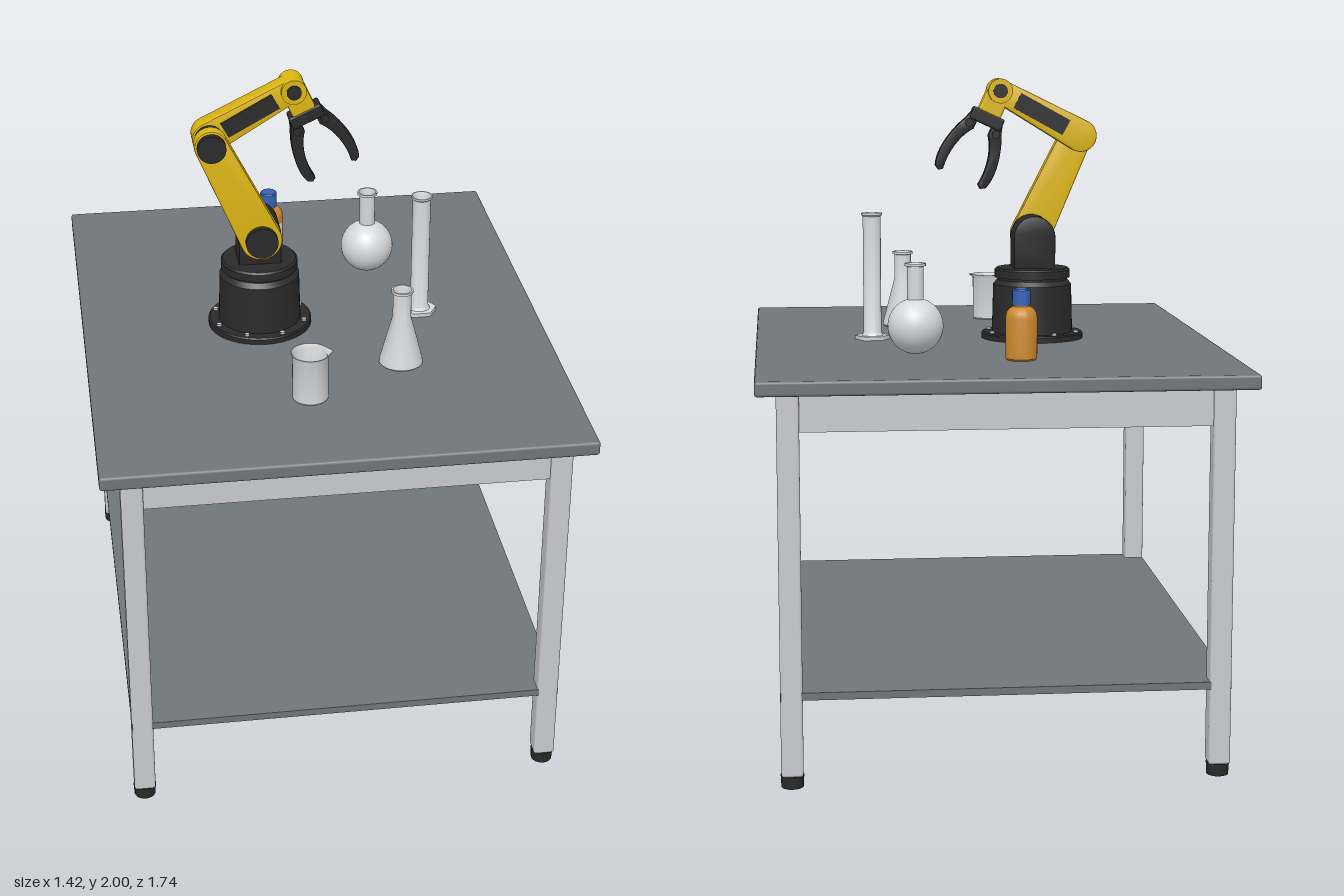
import * as THREE from 'three';
import { toCreasedNormals } from 'three/addons/utils/BufferGeometryUtils.js';
import { RoundedBoxGeometry } from 'three/addons/geometries/RoundedBoxGeometry.js';

const mat = (name, color, side = THREE.FrontSide) => {
  const m = new THREE.MeshStandardMaterial({ color, side });
  m.name = name;
  return m;
};

export function createModel() {
  const top = mat('slate grey', 0x70757b);
  const metal = mat('light metal', 0xc9cacf);
  const black = mat('black', 0x2a2a2b);
  const yellow = mat('yellow', 0xdcb512);
  const glass = mat('glass', 0xd6d8da, THREE.DoubleSide);
  const blue = mat('blue', 0x3562b4);
  const amber = mat('amber', 0xcb882c);
  const white = mat('label white', 0xe6e6e4, THREE.DoubleSide);

  const model = new THREE.Group();
  model.name = 'robotWorkbench';
  const group = (name, x, y, z, parent = model) => {
    const g = new THREE.Group();
    g.name = name;
    g.position.set(x, y, z);
    parent.add(g);
    return g;
  };
  const add = (parent, name, geo, material, x = 0, y = 0, z = 0) => {
    const m = new THREE.Mesh(geo, material);
    m.name = name;
    m.position.set(x, y, z);
    parent.add(m);
    return m;
  };
  const box = (w, h, d, r = 0.004) => new RoundedBoxGeometry(w, h, d, 2, r);
  const lathe = (pts, segs = 40) => toCreasedNormals(
    new THREE.LatheGeometry(pts.map(p => new THREE.Vector2(...p)), segs), 0.6);
  const discZ = (r, d) => new THREE.CylinderGeometry(r, r, d, 32).rotateX(Math.PI / 2);
  // Extrusion centred on z, with a small bevel kept inside the given depth
  const plate = (shape, depth, bevel = 0.004) => toCreasedNormals(new THREE.ExtrudeGeometry(shape, {
    depth: depth - 2 * bevel, bevelSize: bevel, bevelThickness: bevel, bevelOffset: -bevel,
    bevelSegments: 2, curveSegments: 20,
  }).translate(0, 0, bevel - depth / 2), 0.6);
  // Tapered link outline from the origin along +x
  const link = (len, a, b) => {
    const t = Math.acos((a - b) / len);
    const s = new THREE.Shape();
    s.absarc(0, 0, a, t, 2 * Math.PI - t);
    s.absarc(len, 0, b, -t, t);
    s.closePath();
    return s;
  };

  // Table
  const table = group('table', 0, 0, 0);
  add(table, 'tableTop', box(1.42, 0.043, 1.74, 0.008), top, 0, 1.1685, 0);
  add(table, 'lowerShelf', new THREE.BoxGeometry(1.3, 0.022, 1.618), top, 0, 0.274, 0);
  for (const sx of [-1, 1]) for (const sz of [-1, 1]) {
    add(table, 'leg', box(0.064, 1.115, 0.064, 0.008), metal, sx * 0.619, 0.5925, sz * 0.778);
    add(table, 'foot', new THREE.CylinderGeometry(0.034, 0.032, 0.036, 20), black,
      sx * 0.619, 0.018, sz * 0.778);
  }
  for (const s of [-1, 1]) {
    add(table, 'endApron', new THREE.BoxGeometry(1.18, 0.112, 0.04), metal, 0, 1.091, s * 0.778);
    add(table, 'sideApron', new THREE.BoxGeometry(0.04, 0.112, 1.5), metal, s * 0.619, 1.091, 0);
  }

  // Robot base
  const Y = 1.19;
  const robot = group('robotArm', 0, 0, 0);
  const base = group('robotBase', -0.16, Y, 0, robot);
  add(base, 'basePedestal', lathe([[0, 0], [0.16, 0], [0.16, 0.016], [0.156, 0.02], [0.127, 0.02],
    [0.123, 0.17], [0.11, 0.185], [0.11, 0.192], [0.118, 0.192], [0.118, 0.216], [0.112, 0.222],
    [0, 0.222]], 48), black);
  for (let i = 0; i < 8; i++) {
    const a = (i + 0.5) * Math.PI / 4;
    add(base, 'baseBolt', new THREE.CylinderGeometry(0.008, 0.008, 0.008, 6), metal,
      0.143 * Math.cos(a), 0.023, 0.143 * Math.sin(a));
  }
  const arch = new THREE.Shape();
  arch.moveTo(-0.065, -0.1);
  arch.lineTo(0.065, -0.1);
  arch.absarc(0, 0, 0.065, 0, Math.PI);
  arch.closePath();
  const shoulder = group('shoulder', -0.162, 1.51, 0, robot);
  add(shoulder, 'shoulderBlock', plate(arch, 0.106), black);

  // Lower arm, offset to the front of the shoulder
  const lower = group('lowerArm', -0.162, 1.51, 0.075, robot);
  const dx = -0.146, dy = 0.314, lowerLen = Math.hypot(dx, dy);
  lower.rotation.z = Math.atan2(dy, dx);
  add(lower, 'lowerArmLink', plate(link(lowerLen, 0.063, 0.05), 0.043), yellow);
  add(lower, 'shoulderCap', discZ(0.049, 0.02), black, 0, 0, 0.03);
  add(lower, 'elbowCap', discZ(0.043, 0.02), black, lowerLen, 0, 0.03);

  // Upper arm
  const upper = group('upperArm', -0.308, 1.824, 0, robot);
  const ux = 0.253, uy = 0.139, upperLen = Math.hypot(ux, uy);
  upper.rotation.z = Math.atan2(uy, ux);
  add(upper, 'upperArmLink', plate(link(upperLen, 0.05, 0.036), 0.062), yellow);
  add(upper, 'elbowHub', discZ(0.044, 0.04), black, 0, 0, 0.045);
  for (const s of [-1, 1])
    add(upper, 'sidePanel', new THREE.BoxGeometry(0.175, 0.052, 0.008), black, 0.14, 0, s * 0.03);

  // Wrist and gripper; local +x is the gripper axis
  const wrist = group('wrist', -0.055, 1.963, 0, robot);
  wrist.rotation.z = Math.atan2(-0.907, 0.42);
  add(wrist, 'wristKnuckle', toCreasedNormals(discZ(0.038, 0.092), 0.6), yellow);
  for (const s of [-1, 1]) add(wrist, 'wristPin', discZ(0.022, 0.006), black, 0, 0, s * 0.047);
  add(wrist, 'wristBody', box(0.085, 0.074, 0.062, 0.008), yellow, 0.0375, 0, 0);
  add(wrist, 'gripperPalm', box(0.04, 0.105, 0.062, 0.006), black, 0.095, 0, 0);
  const finger = new THREE.Shape();
  finger.moveTo(0.095, 0.025);
  finger.lineTo(0.095, 0.054);
  finger.lineTo(0.12, 0.062);
  finger.bezierCurveTo(0.17, 0.088, 0.25, 0.105, 0.293, 0.086);
  finger.lineTo(0.301, 0.072);
  finger.lineTo(0.292, 0.06);
  finger.bezierCurveTo(0.24, 0.068, 0.175, 0.055, 0.14, 0.025);
  finger.closePath();
  for (const s of [-1, 1]) {
    const f = add(wrist, 'gripperFinger', plate(finger, 0.036), black);
    if (s < 0) f.rotation.x = Math.PI;
    add(wrist, 'fingerPivot', discZ(0.013, 0.046), black, 0.128, s * 0.046, 0);
  }

  // Beaker, with its rim pulled out into a spout
  const beaker = group('beaker', -0.07, Y, 0.5);
  const beakerGeo = new THREE.LatheGeometry([[0, 0], [0.05, 0], [0.053, 0.004], [0.053, 0.14],
    [0.058, 0.15], [0.055, 0.15], [0.05, 0.138], [0.05, 0.004], [0, 0.004]]
    .map(p => new THREE.Vector2(...p)), 40);
  const pos = beakerGeo.attributes.position;
  for (let i = 0; i < pos.count; i++) {
    const a = Math.atan2(pos.getZ(i), pos.getX(i));
    if (pos.getY(i) > 0.145) pos.setX(i, pos.getX(i) + 0.01 * Math.exp(-a * a * 12));
  }
  add(beaker, 'beakerGlass', toCreasedNormals(beakerGeo, 0.6), glass);
  add(beaker, 'beakerLiquid', new THREE.CylinderGeometry(0.0495, 0.0495, 0.06, 32), blue, 0, 0.035, 0);

  // Conical flask
  const conical = group('conicalFlask', 0.23, Y, 0.325);
  add(conical, 'conicalGlass', lathe([[0, 0], [0.06, 0], [0.066, 0.005], [0.064, 0.018], [0.028, 0.155],
    [0.027, 0.235], [0.033, 0.237], [0.033, 0.245], [0.028, 0.245], [0.025, 0.232], [0.025, 0.155],
    [0.059, 0.02], [0.059, 0.004], [0, 0.004]]), glass);
  add(conical, 'conicalLiquid', new THREE.CylinderGeometry(0.044, 0.056, 0.06, 32), yellow, 0, 0.036, 0);

  // Round flask with a flattened bottom
  const round = group('roundFlask', 0.23, Y, -0.325);
  const bulb = (r, from, to) => Array.from({ length: 19 }, (_, i) => {
    const a = from + (to - from) * i / 18;
    return [r * Math.sin(a), 0.081 - r * Math.cos(a)];
  });
  add(round, 'roundGlass', lathe([[0, 0], ...bulb(0.084, 0.27, 2.84), [0.025, 0.19], [0.025, 0.26],
    [0.032, 0.262], [0.032, 0.27], [0.027, 0.27], [0.0235, 0.258], [0.0235, 0.16],
    ...bulb(0.08, 2.84, 0.27), [0, 0.004]]), glass);
  add(round, 'roundLiquid', lathe([...bulb(0.078, 0.3, 1.5), [0, 0.0755]]), blue);

  // Measuring cylinder on a hexagonal foot
  const measure = group('measuringCylinder', 0.345, Y, 0);
  add(measure, 'hexagonalFoot', new THREE.CylinderGeometry(0.055, 0.055, 0.012, 6).rotateY(Math.PI / 6),
    glass, 0, 0.006, 0);
  add(measure, 'cylinderGlass', lathe([[0.034, 0.012], [0.028, 0.022], [0.028, 0.386], [0.033, 0.39],
    [0.033, 0.396], [0.029, 0.396], [0.025, 0.385], [0.025, 0.014], [0, 0.014]]), glass);
  add(measure, 'cylinderLiquid', new THREE.CylinderGeometry(0.0245, 0.0245, 0.2, 24), amber, 0, 0.115, 0);

  // Reagent bottle with cap and wrapped label
  const bottle = group('reagentBottle', -0.07, Y, -0.5);
  add(bottle, 'bottleBody', lathe([[0, 0], [0.043, 0], [0.047, 0.005], [0.047, 0.125], [0.044, 0.14],
    [0.035, 0.152], [0.024, 0.158], [0.023, 0.17], [0, 0.17]]), amber);
  add(bottle, 'bottleCap', lathe([[0, 0.162], [0.027, 0.162], [0.027, 0.206], [0.024, 0.21], [0, 0.21]]), blue);
  add(bottle, 'bottleLabel', new THREE.CylinderGeometry(0.048, 0.048, 0.072, 24, 1, true, -1, 2),
    white, 0, 0.072, 0);

  return model;
}
